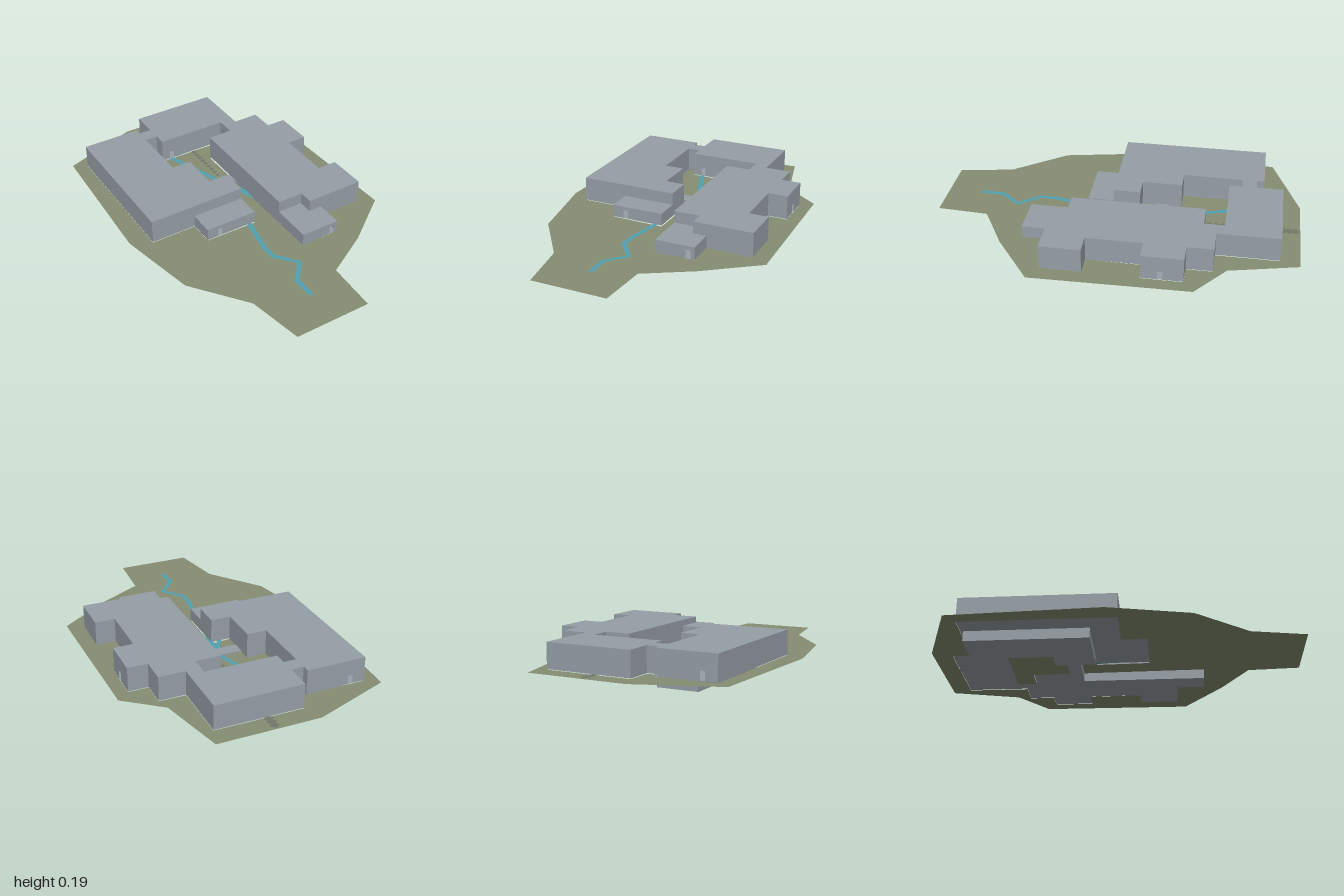
import * as THREE from 'three';

const mat = (name, color) => {
  const m = new THREE.MeshStandardMaterial({ color, side: THREE.DoubleSide });
  m.name = name;
  return m;
};

export function createModel() {
  const model = new THREE.Group();
  const wallGrey = mat('wall grey', 0x969ea6);
  const grass = mat('olive grass', 0x858d72);
  const water = mat('stream blue', 0x4fa2b4);
  const pathGrey = mat('path grey', 0x73786a);

  const toShape = pts => new THREE.Shape(pts.map(([x, z]) => new THREE.Vector2(x, -z)));
  const flat = (shape, y) => new THREE.ShapeGeometry(shape).rotateX(-Math.PI / 2).translate(0, y, 0);
  const add = (name, geometry, material, parent = model) => {
    const mesh = new THREE.Mesh(geometry, material);
    mesh.name = name;
    parent.add(mesh);
    return mesh;
  };

  // One wall panel with an optional doorway notch at distance d
  const wallShape = (len, h, d) => {
    const s = new THREE.Shape().moveTo(0, 0);
    if (d !== null) {
      s.lineTo(d - 0.014, 0).lineTo(d - 0.014, 0.048).lineTo(d + 0.014, 0.048).lineTo(d + 0.014, 0);
    }
    return s.lineTo(len, 0).lineTo(len, h).lineTo(0, h).lineTo(0, 0);
  };

  // Hollow building: floor, roof and a wall along each side of the plan
  function building(name, plan, y0, y1, doors = []) {
    const g = new THREE.Group();
    g.name = name;
    add('floor', flat(toShape(plan), y0), wallGrey, g);
    add('roof', flat(toShape(plan), y1), wallGrey, g);
    plan.forEach(([ax, az], i) => {
      const [bx, bz] = plan[(i + 1) % plan.length];
      const len = Math.hypot(bx - ax, bz - az);
      const dx = (bx - ax) / len, dz = (bz - az) / len;
      let door = null;
      for (const [px, pz] of doors) {
        const along = (px - ax) * dx + (pz - az) * dz;
        const off = Math.abs((px - ax) * dz - (pz - az) * dx);
        if (off < 0.001 && along > 0.02 && along < len - 0.02) door = along;
      }
      const wall = add('wall', new THREE.ShapeGeometry(wallShape(len, y1 - y0, door)), wallGrey, g);
      wall.position.set(ax, y0, az);
      wall.rotation.y = Math.atan2(-dz, dx);
    });
    model.add(g);
  }
  const rect = (x0, x1, z0, z1) => [[x0, z0], [x1, z0], [x1, z1], [x0, z1]];

  // Main storey
  const base = 0.057, tall = 0.192, low = 0.125;
  building('westWing', [[-0.56, -0.79], [-0.23, -0.79], [-0.23, -0.34], [-0.12, -0.34], [-0.12, -0.12],
    [-0.01, -0.12], [-0.01, 0.03], [-0.56, 0.03]], base, tall, [[-0.48, -0.79]]);
  building('northLink', rect(-0.23, -0.16, -0.75, -0.67), base, tall);
  building('northWing', rect(-0.16, 0.32, -0.895, -0.6), base, tall, [[-0.1, -0.6]]);
  building('eastWing', [[0.24, -0.6], [0.32, -0.6], [0.32, -0.56], [0.465, -0.56], [0.465, -0.42], [0.575, -0.42],
    [0.575, -0.2], [0.465, -0.2], [0.465, 0.1], [0.575, 0.1], [0.575, 0.32], [0.245, 0.32], [0.245, 0.24],
    [0.1, 0.24], [0.1, -0.49], [0.24, -0.49]], base, tall, [[0.575, -0.3]]);
  building('westAnnex', rect(-0.305, -0.01, 0.03, 0.17), base, low, [[-0.23, 0.17]]);
  building('eastAnnex', [[0.1, 0.24], [0.245, 0.24], [0.245, 0.32], [0.32, 0.32], [0.32, 0.47], [0.1, 0.47]],
    base, low, [[0.285, 0.47]]);

  // Lower storey; its passage crosses the courtyard at ground level
  building('westBasement', [[-0.45, -0.775], [-0.23, -0.775], [-0.23, -0.335], [-0.12, -0.335],
    [-0.12, -0.12], [-0.45, -0.12]], 0, 0.0565);
  building('passage', rect(-0.12, 0.1, -0.27, -0.2), 0, 0.059);
  building('eastBasement', [[0.1, -0.265], [0.245, -0.265], [0.245, 0.25], [0.225, 0.25],
    [0.225, 0.47], [0.1, 0.47]], 0, 0.0565);

  // Ground sheet, cut out under the wings and dipping along the valley
  const ground = toShape([[-0.2, -1], [0.355, -1], [0.445, -0.63], [0.645, -0.475], [0.665, 0.37], [0.38, 0.58],
    [0.13, 0.72], [0.115, 1], [-0.305, 1], [-0.36, 0.7], [-0.58, 0.41], [-0.67, -0.03], [-0.635, -0.84]]);
  ground.holes.push(toShape([[-0.56, -0.79], [-0.23, -0.79], [-0.23, -0.75], [-0.16, -0.75], [-0.16, -0.895],
    [0.32, -0.895], [0.32, -0.56], [0.465, -0.56], [0.465, -0.42], [0.575, -0.42], [0.575, -0.2], [0.465, -0.2],
    [0.465, 0.1], [0.575, 0.1], [0.575, 0.32], [0.32, 0.32], [0.32, 0.47], [0.1, 0.47], [0.1, -0.49],
    [0.24, -0.49], [0.24, -0.6], [-0.16, -0.6], [-0.16, -0.67], [-0.23, -0.67], [-0.23, -0.34], [-0.12, -0.34],
    [-0.12, -0.12], [-0.01, -0.12], [-0.01, 0.17], [-0.305, 0.17], [-0.305, 0.03], [-0.56, 0.03]]));
  const groundGeo = flat(ground, 0);
  const p = groundGeo.attributes.position;
  for (let i = 0; i < p.count; i++) {
    const x = p.getX(i), z = p.getZ(i);
    const valley = 0.011 * Math.exp(-((x - 0.08) ** 2) / 0.03 - ((z + 0.3) ** 2) / 0.3);
    p.setY(i, 0.0545 - valley + (x > 0.3 && z > 0 ? 0.003 : 0));
  }
  groundGeo.computeVertexNormals();
  add('ground', groundGeo, grass);

  // Stream ribbons with mitred bends
  function ribbon(name, pts, width) {
    const v = pts.map(q => new THREE.Vector2(...q));
    const left = [], right = [];
    v.forEach((q, i) => {
      const a = v[Math.max(i - 1, 0)], b = v[Math.min(i + 1, v.length - 1)];
      const d = b.clone().sub(a).normalize();
      const n = new THREE.Vector2(-d.y, d.x).multiplyScalar(width / 2);
      left.push([q.x + n.x, q.y + n.y]);
      right.unshift([q.x - n.x, q.y - n.y]);
    });
    add(name, flat(toShape([...left, ...right]), 0.0585), water);
  }
  ribbon('upperStream', [[-0.105, -0.598], [0.01, -0.27]], 0.026);
  ribbon('lowerStream', [[0.0, -0.2], [-0.045, 0.17], [-0.085, 0.38], [-0.085, 0.46], [0.005, 0.575],
    [-0.085, 0.68], [-0.085, 0.805]], 0.026);
  ribbon('westBranch', [[-0.01, -0.2], [-0.06, -0.12]], 0.022);
  add('eastBranch', flat(toShape([[0.02, -0.2], [0.055, -0.2], [0.1, -0.1], [0.1, 0.0]]), 0.0585), water);

  // Worn path patches running down the valley
  for (let i = 0; i < 12; i++) {
    const z = i < 3 ? -0.97 + i * 0.03 : -0.58 + (i - 3) * 0.034;
    const w = i < 3 ? 0.028 : 0.022 - i * 0.0008;
    add('pathPatch', flat(toShape([[0.04, z - w], [0.04 + w, z], [0.04, z + w], [0.04 - w, z]]), 0.057), pathGrey);
  }
  return model;
}
